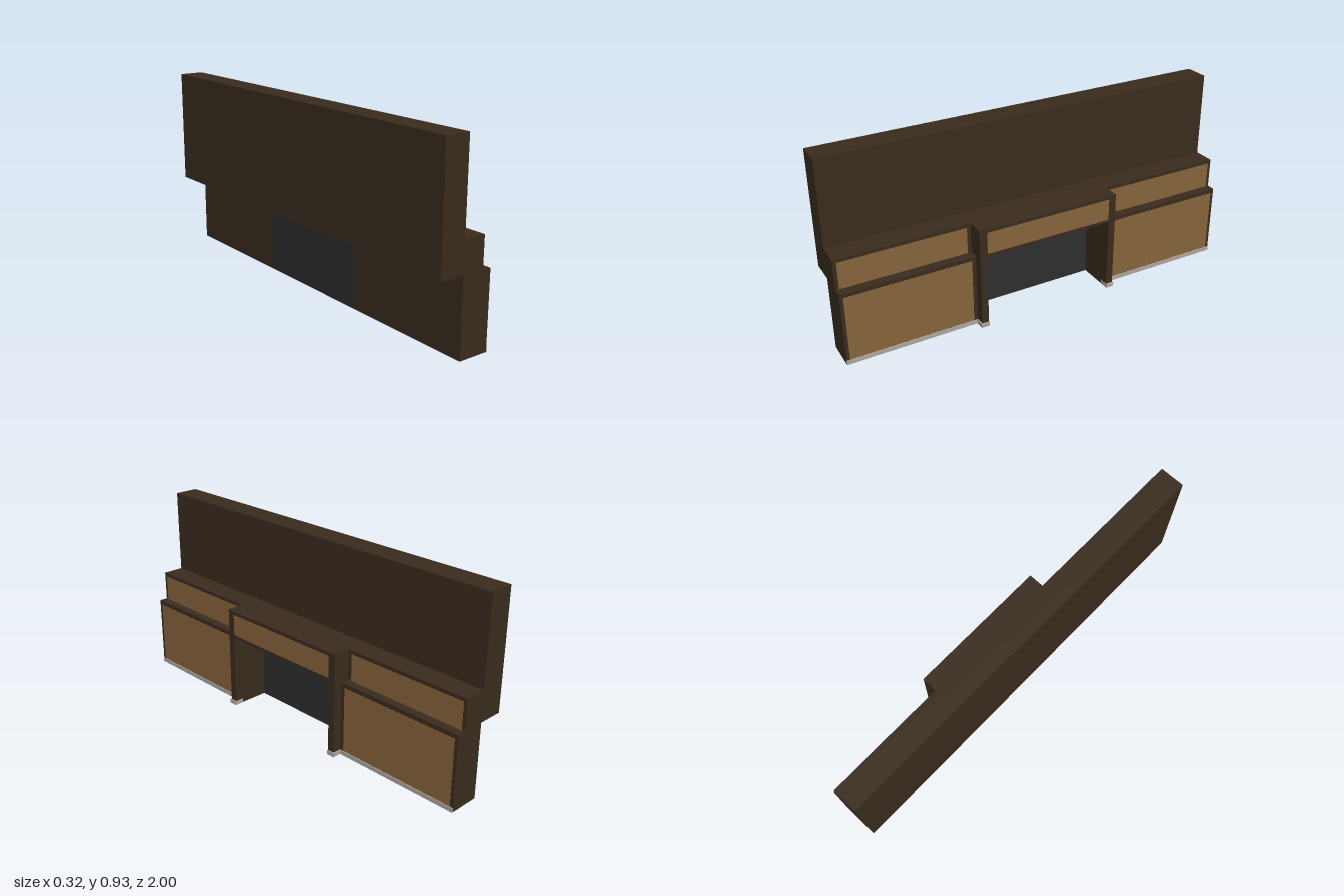
import * as THREE from 'three';

const mat = (color) => new THREE.MeshStandardMaterial({ color });

export function createModel() {
  const group = new THREE.Group();
  const wood = mat(0x3a2c1e), tan = mat(0x87643c), dark = mat(0x2e2e2e), stone = mat(0xb0a69e);

  // Box given by its extents along x, y and z
  function box(name, material, [x0, x1], [y0, y1], [z0, z1]) {
    const mesh = new THREE.Mesh(new THREE.BoxGeometry(x1 - x0, y1 - y0, z1 - z0), material);
    mesh.position.set((x0 + x1) / 2, (y0 + y1) / 2, (z0 + z1) / 2);
    mesh.name = name;
    group.add(mesh);
  }
  // Same box on both ends of the counter
  function pair(name, material, x, y, [z0, z1]) {
    box(name + 'Left', material, x, y, [z0, z1]);
    box(name + 'Right', material, x, y, [-z1, -z0]);
  }

  // Overhanging back wall
  box('backWall', wood, [-0.16, -0.039], [0.361, 0.925], [-1, 1]);

  // Stepped side cabinets: one profile extruded along z
  const profile = new THREE.Shape([
    [-0.039, 0], [0.11, 0], [0.11, 0.361], [0.068, 0.361], [0.068, 0.508], [-0.039, 0.508],
  ].map(([x, y]) => new THREE.Vector2(x, y)));
  const cabinetGeometry = new THREE.ExtrudeGeometry(profile, { depth: 0.675, bevelEnabled: false });
  for (const [name, z] of [['cabinetFront', 0.325], ['cabinetBack', -1]]) {
    const cabinet = new THREE.Mesh(cabinetGeometry, wood);
    cabinet.name = name;
    cabinet.position.z = z;
    group.add(cabinet);
  }

  // Pilasters beside the opening, and the beam above it
  pair('pilaster', wood, [0.06, 0.153], [0, 0.508], [0.325, 0.36]);
  box('beam', wood, [-0.039, 0.153], [0.368, 0.508], [-0.325, 0.325]);

  // Dark panel closing the rear of the opening
  box('openingBack', dark, [-0.039, -0.034], [0, 0.368], [-0.325, 0.325]);

  // Inset coloured panels
  pair('lowerPanel', tan, [0.1, 0.111], [0.022, 0.34], [0.38, 0.984]);
  pair('upperPanel', tan, [0.06, 0.069], [0.361, 0.49], [0.38, 0.984]);
  box('beamPanel', tan, [0.14, 0.154], [0.383, 0.49], [-0.322, 0.322]);

  // Skirting along the cabinets and around the pilaster feet
  pair('cabinetSkirting', stone, [0.108, 0.114], [0, 0.021], [0.36, 1]);
  pair('pilasterSkirting', stone, [0.11, 0.158], [0, 0.021], [0.324, 0.365]);

  return group;
}
